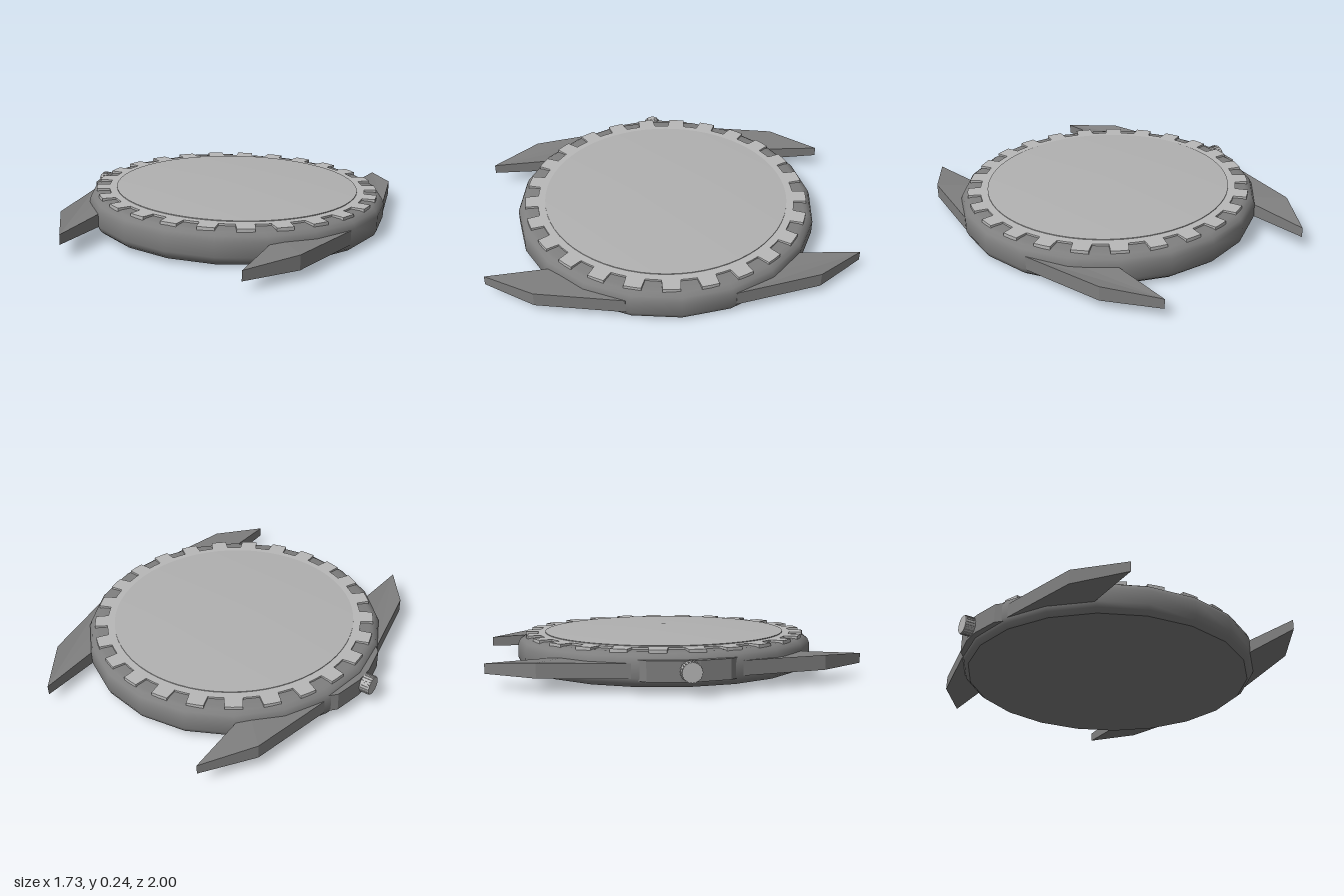
import * as THREE from 'three';
import { toCreasedNormals } from 'three/addons/utils/BufferGeometryUtils.js';

const darkMetal = new THREE.MeshStandardMaterial({ color: 0x7f7f7f });
const paleMetal = new THREE.MeshStandardMaterial({ color: 0xb8b8b8 });
const glass = new THREE.MeshStandardMaterial({ color: 0xb1b1b1 });

function addPart(parent, name, geometry, material) {
  const mesh = new THREE.Mesh(geometry, material);
  mesh.name = name;
  parent.add(mesh);
  return mesh;
}

// Revolved [radius, height] profile, listed from the bottom upwards
function turned(profile, sides) {
  const points = profile.map(([r, y]) => new THREE.Vector2(r, y));
  return toCreasedNormals(new THREE.LatheGeometry(points, sides), 0.65);
}

// Horizontal plate from a plan shape (x, z), between two heights
function plate(shape, y0, y1) {
  const geometry = new THREE.ExtrudeGeometry(shape, { depth: y1 - y0, bevelEnabled: false });
  geometry.rotateX(Math.PI / 2); // plan y becomes z
  geometry.translate(0, y1, 0);
  return geometry;
}

const plan = (points) => new THREE.Shape(points.map(([x, z]) => new THREE.Vector2(x, z)));

// Toothed ring with a round opening
function bezelShape(teeth, outer, notch, inner) {
  const points = [];
  const step = (Math.PI * 2) / teeth;
  for (let i = 0; i < teeth; i++) {
    const mid = Math.PI / 2 + i * step;
    for (const f of [-0.23, 0, 0.23]) {
      const a = mid + f * step;
      points.push([outer * Math.cos(a), outer * Math.sin(a)]);
    }
    for (const f of [0.27, 0.5, 0.73]) {
      const a = mid + f * step;
      points.push([notch * Math.cos(a), notch * Math.sin(a)]);
    }
  }
  const shape = plan(points);
  shape.holes.push(new THREE.Path().absarc(0, 0, inner, 0, Math.PI * 2, true));
  return shape;
}

// Strap lug whose upper face slopes down to a thinner tip
function lugGeometry(sx, sz) {
  const outline = [
    [0.5, 0.99], [0.68, 0.735], [0.775, 0.28], [0.7, 0.2], [0.49, 0.55],
  ].map(([x, z]) => [x * sx, z * sz]);
  const geometry = plate(plan(outline), 0.045, 0.122);
  const position = geometry.attributes.position;
  for (let i = 0; i < position.count; i++) {
    if (Math.abs(position.getZ(i)) > 0.9 && position.getY(i) > 0.1) position.setY(i, 0.098);
  }
  geometry.computeVertexNormals();
  return geometry;
}

export function createModel() {
  const model = new THREE.Group();
  model.name = 'watchHead';

  // The whole watch rests with a slight lean and turn
  const watch = new THREE.Group();
  watch.name = 'watch';
  watch.position.set(0.035, 0.02, 0);
  watch.rotation.set(0, 0.018, -0.022);
  model.add(watch);

  // Case with rounded rims
  addPart(watch, 'case', turned([
    [0, 0], [0.79, 0], [0.815, 0.02], [0.827, 0.048],
    [0.827, 0.125], [0.815, 0.153], [0.792, 0.168], [0.775, 0.173], [0.69, 0.176], [0, 0.176],
  ], 20), darkMetal);

  // Toothed bezel and shallow conical crystal
  addPart(watch, 'bezel', plate(bezelShape(25, 0.785, 0.715, 0.66), 0.15, 0.185), paleMetal);
  addPart(watch, 'crystal', turned([[0.675, 0.17], [0.675, 0.189], [0, 0.22]], 64), glass);

  // Four pointed strap lugs
  for (const sx of [-1, 1]) {
    for (const sz of [-1, 1]) {
      const name = (sz > 0 ? 'front' : 'back') + (sx > 0 ? 'Left' : 'Right') + 'Lug';
      addPart(watch, name, lugGeometry(sx, sz), darkMetal);
    }
  }

  // Crown guard on the side of the case
  addPart(watch, 'crownGuard', plate(plan([
    [-0.7, -0.27], [-0.775, -0.255], [-0.815, -0.21], [-0.848, -0.05],
    [-0.848, 0.05], [-0.815, 0.21], [-0.775, 0.255], [-0.7, 0.27],
  ]), 0.035, 0.14), darkMetal);

  // Ribbed winding crown
  const crown = new THREE.Group();
  crown.name = 'crown';
  crown.position.set(-0.875, 0.09, 0);
  crown.rotation.z = Math.PI / 2;
  watch.add(crown);
  addPart(crown, 'crownKnob', new THREE.CylinderGeometry(0.05, 0.05, 0.056, 20), paleMetal);
  for (let i = 0; i < 20; i++) {
    const a = (i / 20) * Math.PI * 2;
    const rib = addPart(crown, 'crownRib', new THREE.BoxGeometry(0.008, 0.046, 0.006), paleMetal);
    rib.position.set(Math.cos(a) * 0.049, 0, Math.sin(a) * 0.049);
    rib.rotation.y = -a;
  }
  const stem = addPart(crown, 'crownStem', new THREE.CylinderGeometry(0.03, 0.03, 0.06, 16), paleMetal);
  stem.position.y = -0.05;

  return model;
}
